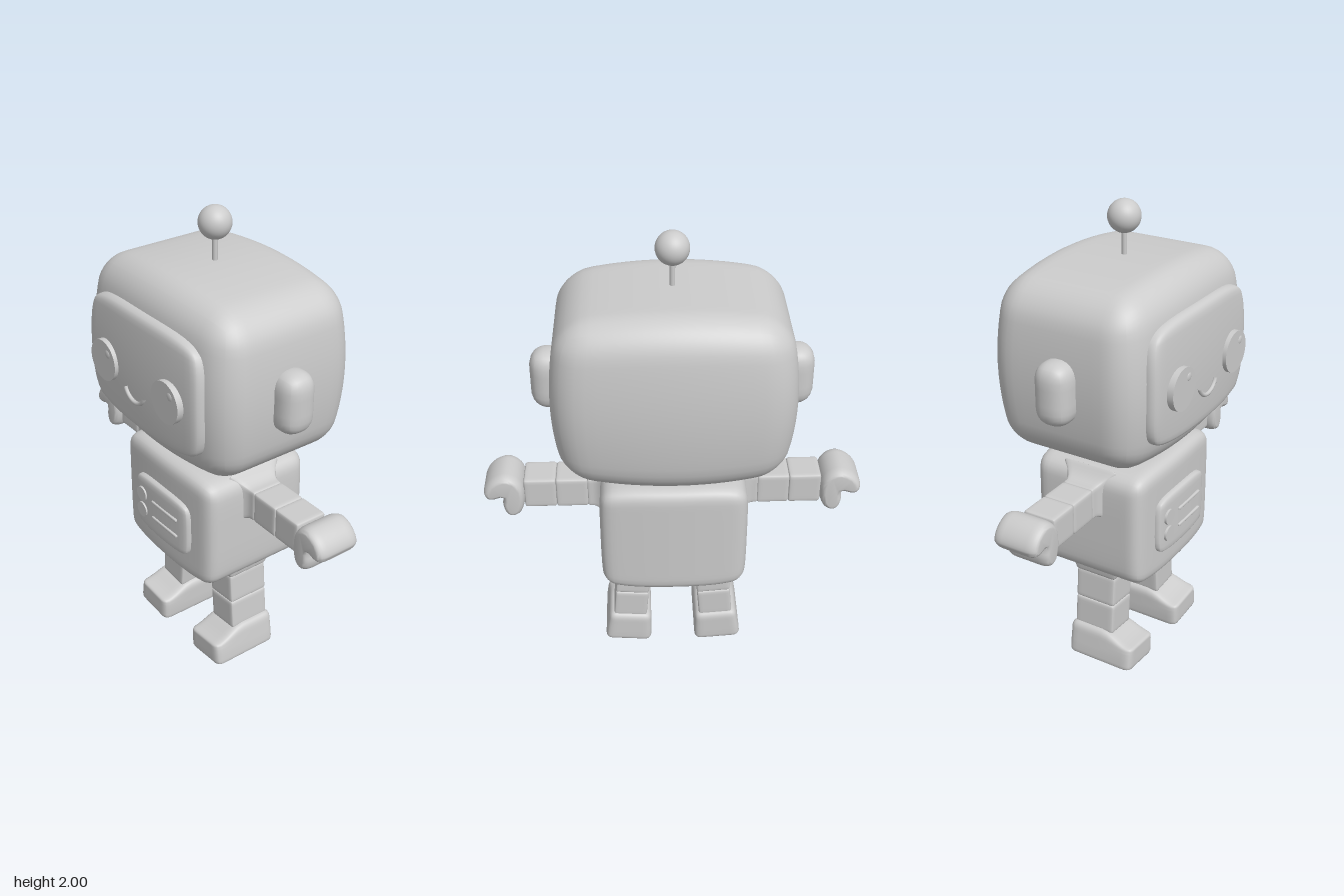
import * as THREE from 'three';
import { mergeVertices, toCreasedNormals } from 'three/addons/utils/BufferGeometryUtils.js';

const grey = new THREE.MeshStandardMaterial({ color: 0xcccccc });

function add(parent, name, geometry, x = 0, y = 0, z = 0) {
  const mesh = new THREE.Mesh(geometry, grey);
  mesh.name = name;
  mesh.position.set(x, y, z);
  parent.add(mesh);
  return mesh;
}

// Smooth rounded box; warp(p, n) may bend it, n being p scaled to -1..1
function softBox(w, h, d, r, warp, seg = 12) {
  let g = new THREE.BoxGeometry(2, 2, 2, seg, seg, seg);
  g.deleteAttribute('uv');
  g.deleteAttribute('normal');
  g = mergeVertices(g);
  const half = new THREE.Vector3(w / 2, h / 2, d / 2);
  const inner = half.clone().subScalar(r);
  const outer = inner.clone().negate();
  const pos = g.attributes.position;
  const p = new THREE.Vector3(), c = new THREE.Vector3(), n = new THREE.Vector3();
  for (let i = 0; i < pos.count; i++) {
    p.fromBufferAttribute(pos, i);
    // crowd the grid lines towards the edges
    p.set(...p.toArray().map(v => Math.sin(v * Math.PI / 2))).multiply(half);
    c.copy(p).clamp(outer, inner);
    p.sub(c).normalize().multiplyScalar(r).add(c);
    n.copy(p).divide(half);
    if (warp) warp(p, n);
    pos.setXYZ(i, p.x, p.y, p.z);
  }
  g.computeVertexNormals();
  return g;
}

function disc(r, depth) {
  const g = new THREE.CylinderGeometry(r, r, depth, 40);
  return g.rotateX(Math.PI / 2);
}

function makeHead() {
  const head = new THREE.Group();
  head.name = 'head';
  add(head, 'headShell', softBox(0.96, 0.77, 0.73, 0.13, (p, n) => {
    p.x *= 1 - 0.09 * n.y * n.y;
    p.y *= 1 - 0.11 * n.x * n.x;
    p.z *= (1 - 0.12 * n.y * n.y) * (1 - 0.11 * n.x * n.x);
  }, 24), 0, 1.395, -0.025);

  // Face screen follows the curve of the head
  add(head, 'screen', softBox(0.75, 0.52, 0.1, 0.035, (p, n) => {
    const corner = n.x ** 4 * n.y ** 4;
    p.x *= (1 - 0.03 * n.y * n.y) * (1 - 0.1 * corner);
    p.y *= (1 - 0.04 * n.x * n.x) * (1 - 0.12 * corner);
    p.z -= 0.02 * n.x * n.x + 0.015 * n.y * n.y;
  }, 20), 0, 1.39, 0.32);

  for (const s of [-1, 1]) {
    add(head, s > 0 ? 'leftEye' : 'rightEye', disc(0.088, 0.04), s * 0.215, 1.375, 0.364);
    const glint = add(head, 'eyeGlint', new THREE.SphereGeometry(0.018, 16, 10), s * 0.215 + 0.035, 1.415, 0.382);
    glint.scale.z = 0.3;
    add(head, s > 0 ? 'leftEar' : 'rightEar', softBox(0.16, 0.26, 0.155, 0.07), s * 0.49, 1.377, -0.01);
  }

  const arc = new THREE.TorusGeometry(0.07, 0.009, 8, 28, 2.45);
  add(head, 'smile', arc.rotateZ(Math.PI + 0.346), -0.005, 1.342, 0.373);

  add(head, 'antennaRod', new THREE.CylinderGeometry(0.011, 0.011, 0.14, 16), 0, 1.82, -0.015);
  add(head, 'antennaBall', new THREE.SphereGeometry(0.067, 32, 20), 0, 1.933, -0.015);
  return head;
}

function makeTorso() {
  const torso = new THREE.Group();
  torso.name = 'torso';
  add(torso, 'neck', new THREE.CylinderGeometry(0.135, 0.135, 0.14, 40), 0, 0.99, -0.005);
  add(torso, 'body', softBox(0.62, 0.53, 0.534, 0.055, (p, n) => {
    p.x *= 1 - 0.03 * n.y ** 4;
    p.y *= 1 - 0.1 * n.x ** 4;
    p.z *= 1 - 0.07 * n.x * n.x;
  }, 22), 0, 0.705, -0.012);

  // Chest panel with two dials and two slots
  add(torso, 'chestPanel', softBox(0.38, 0.27, 0.06, 0.025, (p, n) => {
    const corner = n.x ** 4 * n.y ** 4;
    p.x *= 1 - 0.1 * corner;
    p.y *= (1 - 0.04 * n.x * n.x) * (1 - 0.12 * corner);
    p.z -= 0.008 * n.x * n.x;
  }), 0, 0.695, 0.25);
  for (const y of [0.735, 0.655]) {
    add(torso, 'chestDial', disc(0.034, 0.03), -0.125, y, 0.27);
    add(torso, 'chestBar', softBox(0.18, 0.014, 0.02, 0.006, null, 6), 0.04, y, 0.277);
  }
  return torso;
}

// Curled mitten outline, rounded off along z
function handGeometry() {
  const outline = [
    [0.63, 0.80], [0.632, 0.88], [0.66, 0.922], [0.705, 0.94], [0.755, 0.922], [0.79, 0.885], [0.8, 0.85],
    [0.785, 0.825], [0.755, 0.822], [0.722, 0.83], [0.724, 0.79], [0.712, 0.75], [0.685, 0.735], [0.65, 0.75],
  ].map(([x, y]) => new THREE.Vector3(x, y - 0.84, 0));
  const curve = new THREE.CatmullRomCurve3(outline, true);
  const shape = new THREE.Shape(curve.getPoints(48).slice(0, -1).map(v => new THREE.Vector2(v.x, v.y)));
  const g = new THREE.ExtrudeGeometry(shape, {
    depth: 0.11, bevelThickness: 0.045, bevelSize: 0.022, bevelOffset: -0.022, bevelSegments: 6,
  });
  g.translate(0, 0, -0.055);
  return toCreasedNormals(g, 0.8);
}

function makeArm(side) {
  const arm = new THREE.Group();
  arm.name = side > 0 ? 'leftArm' : 'rightArm';
  // Shoulder widens where it meets the body
  add(arm, 'shoulder', softBox(0.1, 0.14, 0.145, 0.012, (p, n) => {
    const flare = 1 + 0.35 * Math.max(0, 0.6 - n.x) ** 2;
    p.y *= flare;
    p.z *= flare;
  }), 0.313);
  for (const x of [0.427, 0.562]) add(arm, 'armSegment', softBox(0.137, 0.138, 0.146, 0.012), x);
  add(arm, 'hand', handGeometry());
  arm.position.set(0, 0.84, -0.015);
  if (side < 0) arm.rotation.y = Math.PI;
  return arm;
}

function makeLeg(side) {
  const leg = new THREE.Group();
  leg.name = side > 0 ? 'leftLeg' : 'rightLeg';
  add(leg, 'hip', softBox(0.155, 0.06, 0.19, 0.012, (p, n) => {
    const flare = 1 + 0.1 * (n.y + 1);
    p.x *= flare;
    p.z *= flare;
  }), 0, 0.015, -0.01);
  for (const y of [-0.078, -0.216]) add(leg, 'legSegment', softBox(0.15, 0.14, 0.19, 0.012), 0, y, -0.01);
  // Foot: narrower at the top, sloping down to the toe
  add(leg, 'foot', softBox(0.215, 0.15, 0.315, 0.032, (p, n) => {
    if (n.y > 0) p.y -= 0.045 * n.y * THREE.MathUtils.smoothstep(n.z, 0, 0.9);
    p.x *= 1 - 0.06 * (n.y + 1);
    if (n.y < -0.5) p.y = Math.max(-0.075, p.y - 0.015);
  }, 16), 0, -0.345, 0.0375);
  leg.position.set(side * 0.172, 0.425, 0);
  leg.rotation.z = side * 0.08;
  return leg;
}

export function createModel() {
  const robot = new THREE.Group();
  robot.name = 'robot';
  robot.add(makeHead(), makeTorso());
  for (const side of [1, -1]) robot.add(makeArm(side), makeLeg(side));
  return robot;
}
